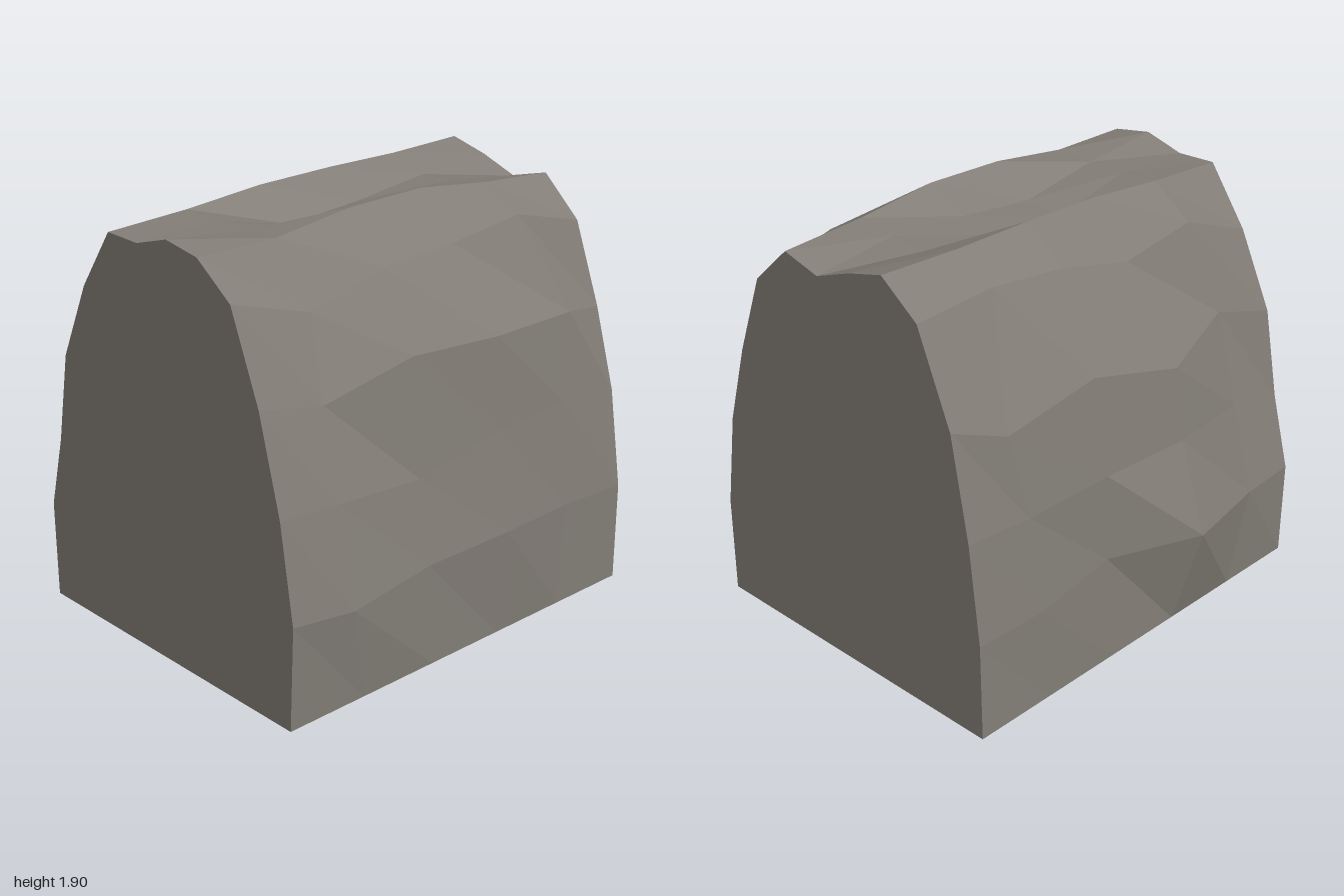
import * as THREE from 'three';

const STATIONS = [1, 0.6, 0.2, -0.2, -0.6, -1];

// wall rows, bottom to top: one [x, y, z] per station, front to back
const LEFT_WALL = [
  [[0.855, 0.47, 1], [0.875, 0.44, 0.69], [0.835, 0.47, 0.23], [0.865, 0.49, -0.22], [0.835, 0.48, -0.63], [0.835, 0.46, -1]],
  [[0.785, 0.9, 1], [0.79, 0.88, 0.7], [0.77, 0.84, 0.23], [0.8, 0.94, -0.22], [0.78, 0.95, -0.65], [0.765, 0.91, -1]],
  [[0.67, 1.32, 1], [0.67, 1.25, 0.67], [0.72, 1.36, 0.23], [0.765, 1.35, -0.22], [0.72, 1.33, -0.73], [0.655, 1.28, -1]],
];
const RIGHT_WALL = [
  [[-0.77, 0.45, 1], [-0.79, 0.45, 0.7], [-0.88, 0.46, 0.25], [-0.745, 0.5, -0.23], [-0.765, 0.45, -0.65], [-0.755, 0.45, -1]],
  [[-0.68, 0.79, 1], [-0.69, 0.87, 0.68], [-0.74, 0.88, 0.25], [-0.735, 0.9, -0.23], [-0.72, 0.89, -0.68], [-0.7, 0.9, -1]],
  [[-0.605, 1.2, 1], [-0.585, 1.3, 0.66], [-0.69, 1.21, 0.25], [-0.67, 1.34, -0.25], [-0.67, 1.27, -0.75], [-0.61, 1.36, -1]],
];
// crest rows from left to right: x, then the height at each station
const CREST = [
  [0.515, [1.7, 1.58, 1.68, 1.7, 1.75, 1.65]],
  [0.32, [1.84, 1.84, 1.89, 1.9, 1.855, 1.83]],
  [0.13, [1.87, 1.83, 1.76, 1.8, 1.83, 1.78]],
  [-0.06, [1.815, 1.83, 1.74, 1.77, 1.82, 1.85]],
  [-0.25, [1.82, 1.84, 1.875, 1.885, 1.885, 1.9]],
  [-0.44, [1.55, 1.7, 1.64, 1.735, 1.78, 1.76]],
];

const footRow = (x) => STATIONS.map((z) => [x, 0, z]);
const crestRow = ([x, heights]) => heights.map((y, i) => [x, y, STATIONS[i]]);

// flat-faceted strip surface between neighbouring rows
function skin(rows) {
  const pos = [];
  for (let r = 0; r < rows.length - 1; r++) {
    for (let i = 0; i < STATIONS.length - 1; i++) {
      const a = rows[r][i], b = rows[r][i + 1];
      const c = rows[r + 1][i + 1], d = rows[r + 1][i];
      pos.push(...a, ...b, ...d, ...b, ...c, ...d);
    }
  }
  const geometry = new THREE.BufferGeometry();
  geometry.setAttribute('position', new THREE.Float32BufferAttribute(pos, 3));
  geometry.computeVertexNormals();
  return geometry;
}

export function createModel() {
  const group = new THREE.Group();
  group.name = 'rockyRidgeSegment';
  const stone = new THREE.MeshStandardMaterial({ color: 0x827d76 });
  stone.name = 'warm grey stone';
  stone.flatShading = true;
  stone.side = THREE.DoubleSide;

  const add = (name, geometry) => {
    const mesh = new THREE.Mesh(geometry, stone);
    mesh.name = name;
    group.add(mesh);
    return mesh;
  };

  const left = [footRow(0.835), ...LEFT_WALL.map((row) => row)];
  const crest = CREST.map(crestRow);
  const right = [...RIGHT_WALL].reverse().concat([footRow(-0.765)]);
  const rows = [...left, ...crest, ...right];

  // rock shell, open underneath
  add('leftSlope', skin([...left, crest[0]]));
  add('crest', skin(crest));
  add('rightSlope', skin([crest[crest.length - 1], ...right]));

  // flat cut ends that follow the first and last cross-sections
  const cut = (station) => new THREE.ShapeGeometry(
    new THREE.Shape(rows.map((row) => new THREE.Vector2(row[station][0], row[station][1]))));
  add('frontCut', cut(0)).position.z = 1;
  // reversed winding so the back cut faces away from the front
  const back = cut(STATIONS.length - 1);
  const index = Array.from(back.index.array).reverse();
  back.setIndex(index);
  back.computeVertexNormals();
  add('backCut', back).position.z = -1;

  return group;
}
